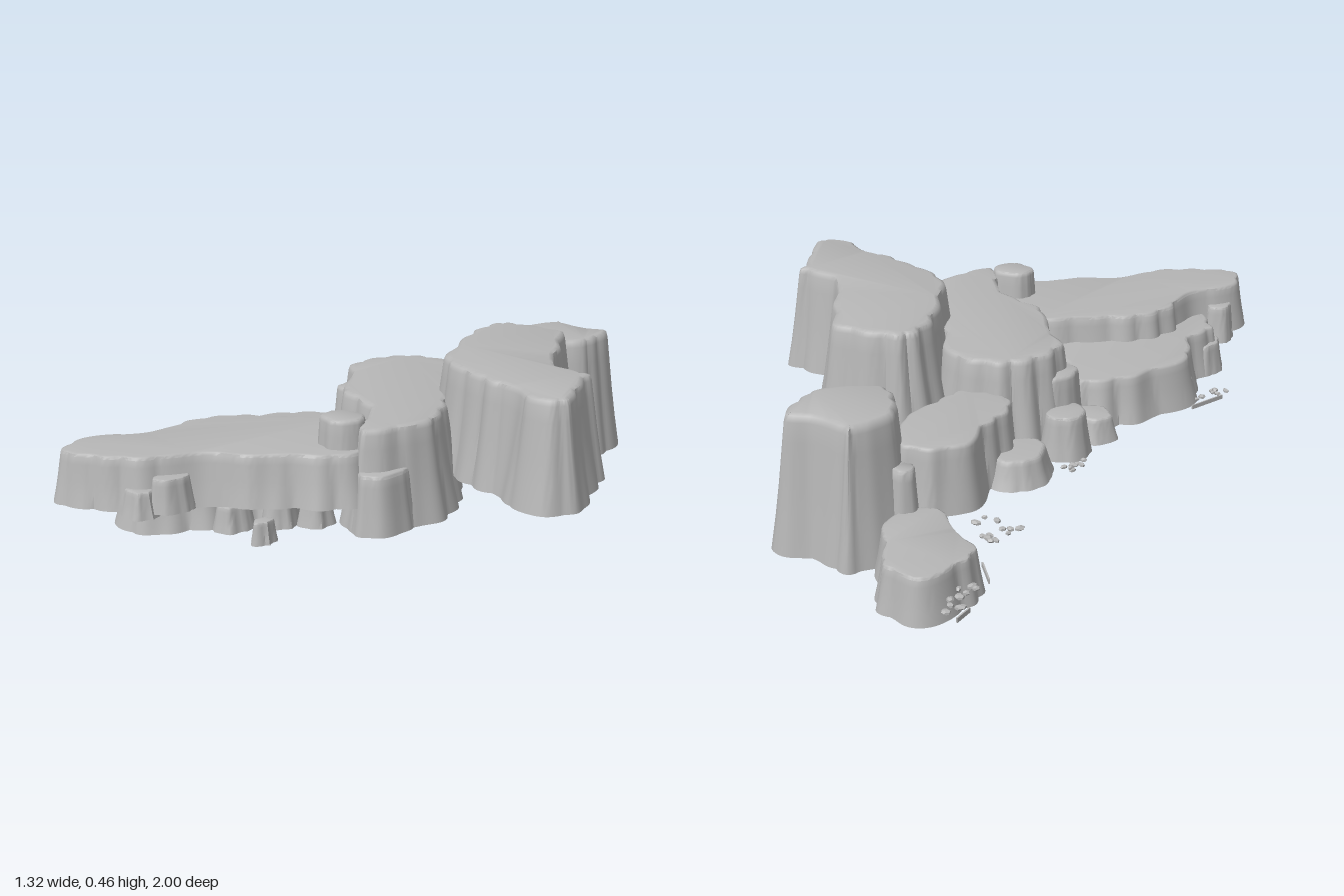
import * as THREE from 'three';
import { toCreasedNormals } from 'three/addons/utils/BufferGeometryUtils.js';

const stone = new THREE.MeshStandardMaterial({ color: 0xb6b6b6, side: THREE.DoubleSide });
stone.name = 'grey stone';

function seeded(seed) {
  let s = seed;
  return () => (s = (s * 16807) % 2147483647) / 2147483647;
}

// Open-bottomed rock: scalloped base outline [x, z] lofted up to a flat top
function mesaGeometry(outline, y0, y1, flare, rough, seed) {
  const pts = outline.map(([x, z]) => new THREE.Vector2(x, -z));
  if (THREE.ShapeUtils.area(pts) < 0) pts.reverse();
  const curve = new THREE.CatmullRomCurve3(
    pts.map(p => new THREE.Vector3(p.x, p.y, 0)), true, 'centripetal');
  const length = curve.getLength();
  const n = Math.max(24, Math.round(length * 100));
  const base = curve.getSpacedPoints(n).slice(0, n);
  const normals = base.map((p, i) => {
    const a = base[(i + n - 3) % n], b = base[(i + 3) % n];
    return new THREE.Vector2(b.y - a.y, a.x - b.x).normalize();
  });
  // Broad scallops that drift a little with height
  const k = Math.max(4, Math.round(length * 8));
  const groove = (i, h) => {
    const t = i / n * Math.PI * 2;
    const broad = Math.abs(Math.sin(t * k / 2 + 1.3 * Math.sin(3 * t + seed) + 0.3 * h));
    const fine = Math.sin(t * k + 2 * Math.sin(4 * t + seed) - 0.8 * h);
    return rough * (broad - 0.6 + 0.45 * Math.sin(5 * t + seed * 2) + 0.15 * fine);
  };
  // [height fraction, inset fraction]
  const rings = [[0, 0], [0.25, 0.3], [0.5, 0.55], [0.8, 0.8], [0.94, 0.92], [0.985, 1.02], [1, 1.25]];
  const pos = [], idx = [];
  for (const [h, inset] of rings) {
    base.forEach((p, i) => {
      const d = groove(i, h) * (1.1 - 0.3 * h) - flare * inset;
      pos.push(p.x + normals[i].x * d, y0 + (y1 - y0) * h, -(p.y + normals[i].y * d));
    });
  }
  for (let r = 0; r < rings.length - 1; r++) {
    for (let i = 0; i < n; i++) {
      const j = (i + 1) % n, a = r * n + i, b = r * n + j;
      idx.push(a, b, b + n, a, b + n, a + n);
    }
  }
  // flat cap
  const last = (rings.length - 1) * n;
  const top = base.map((_, i) => new THREE.Vector2(pos[(last + i) * 3], -pos[(last + i) * 3 + 2]));
  for (const f of THREE.ShapeUtils.triangulateShape(top, [])) idx.push(...f.map(v => v + last));
  const geo = new THREE.BufferGeometry();
  geo.setAttribute('position', new THREE.Float32BufferAttribute(pos, 3));
  geo.setIndex(idx);
  return toCreasedNormals(geo, 0.85);
}

// Irregular oval outline for boulders
function oval(cx, cz, rx, rz, seed) {
  const rnd = seeded(seed * 977 + 13);
  return Array.from({ length: 8 }, (_, i) => {
    const a = i / 8 * Math.PI * 2, r = 0.92 + rnd() * 0.16;
    return [cx + Math.cos(a) * rx * r, cz + Math.sin(a) * rz * r];
  });
}

export function createModel() {
  const model = new THREE.Group();
  model.name = 'rockFormation';
  let seed = 1;
  const add = (name, outline, y0, y1, flare, rough) => {
    const mesh = new THREE.Mesh(mesaGeometry(outline, y0, y1, flare, rough, seed++), stone);
    mesh.name = name;
    model.add(mesh);
  };

  // Large plateaus
  add('highPlateau', [
    [-0.12, -0.40], [-0.06, -0.46], [0.13, -0.485], [0.20, -0.41], [0.30, -0.29], [0.38, -0.19],
    [0.51, -0.17], [0.55, -0.10], [0.61, -0.02], [0.66, 0.10], [0.62, 0.16], [0.50, 0.175],
    [0.44, 0.14], [0.38, 0.15], [0.28, 0.13], [0.18, 0.10], [0.08, 0.05], [-0.01, -0.06],
    [-0.07, -0.17], [-0.11, -0.28]], 0.165, 0.46, 0.046, 0.014);
  add('middlePlateau', [
    [-0.35, -0.12], [-0.28, -0.24], [-0.15, -0.285], [-0.05, -0.24], [0.05, -0.12], [0.18, 0.03],
    [0.26, 0.14], [0.305, 0.22], [0.295, 0.37], [0.22, 0.46], [0.13, 0.42], [0.06, 0.32],
    [-0.02, 0.28], [-0.13, 0.24], [-0.22, 0.14], [-0.35, 0.02]], 0.09, 0.36, 0.045, 0.014);
  add('frontPlateau', [
    [-0.40, 0.78], [-0.415, 0.91], [-0.34, 1.0], [-0.22, 0.955], [-0.12, 0.86], [-0.06, 0.74],
    [0.02, 0.69], [0.12, 0.58], [0.20, 0.50], [0.235, 0.40], [0.15, 0.29], [0.00, 0.22],
    [-0.10, 0.25], [-0.20, 0.33], [-0.32, 0.45], [-0.36, 0.58], [-0.35, 0.70]],
    0.16, 0.30, 0.028, 0.013);
  add('lowerShelf', [
    [-0.47, 0.22], [-0.42, 0.13], [-0.32, 0.06], [-0.20, 0.15], [-0.08, 0.27], [0.03, 0.38],
    [0.02, 0.50], [-0.04, 0.62], [-0.10, 0.78], [-0.17, 0.89], [-0.26, 0.87], [-0.38, 0.76],
    [-0.46, 0.67], [-0.45, 0.55], [-0.505, 0.42]], 0.09, 0.225, 0.032, 0.016);
  add('ridge', [
    [-0.38, -0.53], [-0.32, -0.62], [-0.20, -0.63], [-0.13, -0.55], [-0.11, -0.40],
    [-0.13, -0.24], [-0.22, -0.19], [-0.31, -0.21], [-0.35, -0.32], [-0.36, -0.43]],
    0.09, 0.27, 0.025, 0.013);

  // Free-standing pillars at the back
  add('tallPillar', [
    [-0.28, -0.66], [-0.23, -0.835], [-0.13, -0.83], [-0.02, -0.86], [0.035, -0.80],
    [0.06, -0.66], [0.00, -0.56], [-0.11, -0.50], [-0.21, -0.55]], 0.004, 0.375, 0.045, 0.009);
  add('lowPillar', [
    [-0.565, -0.85], [-0.52, -0.95], [-0.41, -0.955], [-0.34, -0.87], [-0.27, -0.79],
    [-0.27, -0.66], [-0.33, -0.61], [-0.45, -0.67], [-0.55, -0.74]], 0.01, 0.13, 0.02, 0.01);

  // Boulders leaning on the plateaus: [x, z, rx, rz, bottom, top]
  const boulders = [
    [-0.36, -0.285, 0.09, 0.11, 0.09, 0.165], [-0.38, -0.09, 0.065, 0.08, 0.09, 0.21],
    [-0.385, 0.04, 0.075, 0.065, 0.09, 0.16], [-0.31, -0.03, 0.08, 0.09, 0.09, 0.29],
    [0.12, 0.41, 0.082, 0.075, 0.16, 0.377], [0.235, 0.38, 0.075, 0.09, 0.09, 0.25],
    [-0.10, 0.80, 0.05, 0.065, 0.16, 0.25], [-0.14, 0.87, 0.05, 0.05, 0.15, 0.22],
    [0.085, 0.655, 0.028, 0.04, 0.08, 0.14], [-0.41, 0.66, 0.06, 0.075, 0.09, 0.18],
    [-0.38, 0.80, 0.05, 0.06, 0.14, 0.25], [-0.46, 0.39, 0.055, 0.08, 0.09, 0.16],
    [-0.27, -0.67, 0.04, 0.04, 0.09, 0.24],
    // rubble under the front plateau's left edge
    [-0.03, 0.66, 0.045, 0.06, 0.09, 0.16], [0.03, 0.55, 0.05, 0.06, 0.09, 0.17],
    [0.09, 0.48, 0.05, 0.05, 0.09, 0.17]];
  boulders.forEach(([x, z, rx, rz, y0, y1], i) =>
    add('boulder', oval(x, z, rx, rz, i + 3), y0, y1, Math.min(rx, rz) * 0.3, 0.005));

  // Scattered pebbles: [x, z, spread x, spread z, count]
  const rnd = seeded(4242);
  const pebble = new THREE.DodecahedronGeometry(1, 0);
  const clusters = [[-0.61, -0.92, 0.03, 0.07, 9], [-0.48, -0.58, 0.05, 0.06, 12],
    [-0.46, -0.17, 0.025, 0.05, 7], [-0.53, 0.49, 0.025, 0.08, 7]];
  for (const [x, z, sx, sz, count] of clusters) {
    for (let i = 0; i < count; i++) {
      const mesh = new THREE.Mesh(pebble, stone);
      mesh.name = 'pebble';
      mesh.position.set(x + (rnd() * 2 - 1) * sx, 0.09 + rnd() * 0.012, z + (rnd() * 2 - 1) * sz);
      mesh.scale.set(0.006 + rnd() * 0.006, 0.006, 0.006 + rnd() * 0.01);
      mesh.rotation.y = rnd() * 3;
      model.add(mesh);
    }
  }

  // Thin slivers beside the pebbles: [x0, z0, x1, z1]
  for (const [x0, z0, x1, z1] of [[-0.658, -0.995, -0.655, -0.94], [-0.62, -0.81, -0.56, -0.75],
    [-0.53, 0.36, -0.565, 0.48]]) {
    const sliver = new THREE.Mesh(
      new THREE.BoxGeometry(0.004, 0.012, Math.hypot(x1 - x0, z1 - z0)), stone);
    sliver.name = 'sliver';
    sliver.position.set((x0 + x1) / 2, 0.096, (z0 + z1) / 2);
    sliver.rotation.y = Math.atan2(x1 - x0, z1 - z0);
    model.add(sliver);
  }
  return model;
}
